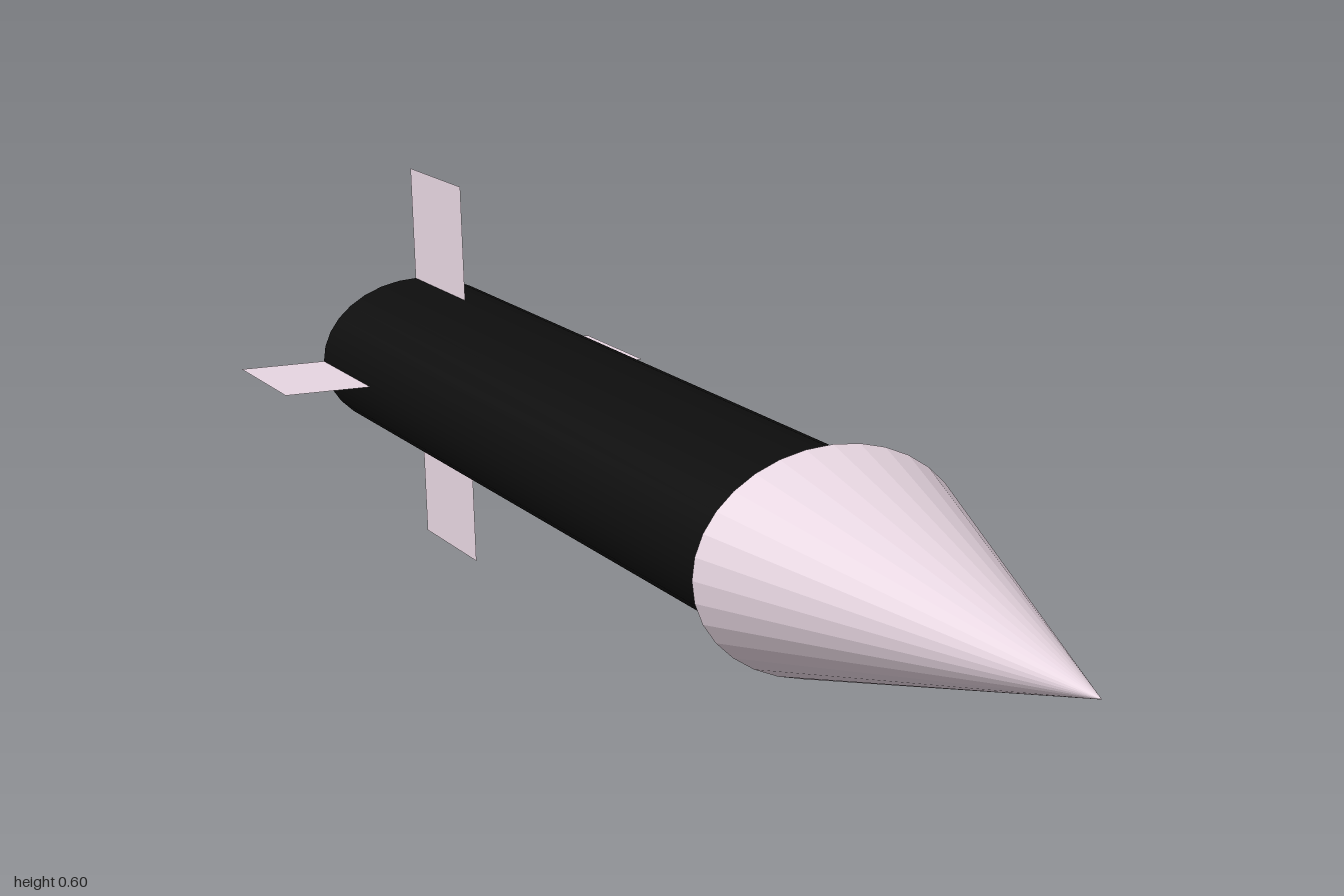
import * as THREE from 'three';

const AXIS_Y = 0.3; // height of the long axis
const BACK = -1, BODY_FRONT = 0.395, TIP = 1;
const FIN_LENGTH = 0.21, FIN_SPAN = 0.6;

export function createModel() {
  const group = new THREE.Group();
  const pale = new THREE.MeshStandardMaterial({ color: 0xe6d5e0, flatShading: true });
  const dark = new THREE.MeshStandardMaterial({ color: 0x0d0d0d });
  const finMaterial = new THREE.MeshStandardMaterial({ color: 0xe6d5e0, side: THREE.DoubleSide });

  const add = (name, geometry, material, z) => {
    const mesh = new THREE.Mesh(geometry, material);
    mesh.name = name;
    mesh.position.set(0, AXIS_Y, z);
    group.add(mesh);
    return mesh;
  };

  // Oval tube or cone lying along z, wide end at the back
  const oval = (rFront, rBack, length, rx, ry) =>
    new THREE.CylinderGeometry(rFront, rBack, length, 32).rotateX(Math.PI / 2).scale(rx, ry, 1);

  // Dark body, closed at both ends
  add('body', oval(1, 1, BODY_FRONT - BACK, 0.163, 0.122), dark, (BODY_FRONT + BACK) / 2);

  // Faceted nose cone, overhanging the body
  add('noseCone', oval(0, 1, TIP - BODY_FRONT, 0.193, 0.15), pale, (TIP + BODY_FRONT) / 2);

  // Two thin sheets crossing at the tail make four fins; the upright one leans slightly
  const finSheet = () => new THREE.PlaneGeometry(FIN_SPAN, FIN_LENGTH).rotateX(-Math.PI / 2);
  const finZ = BACK + FIN_LENGTH / 2;
  add('sideFins', finSheet(), finMaterial, finZ);
  add('uprightFins', finSheet(), finMaterial, finZ).rotation.z = Math.PI / 2 + 0.027;

  return group;
}
